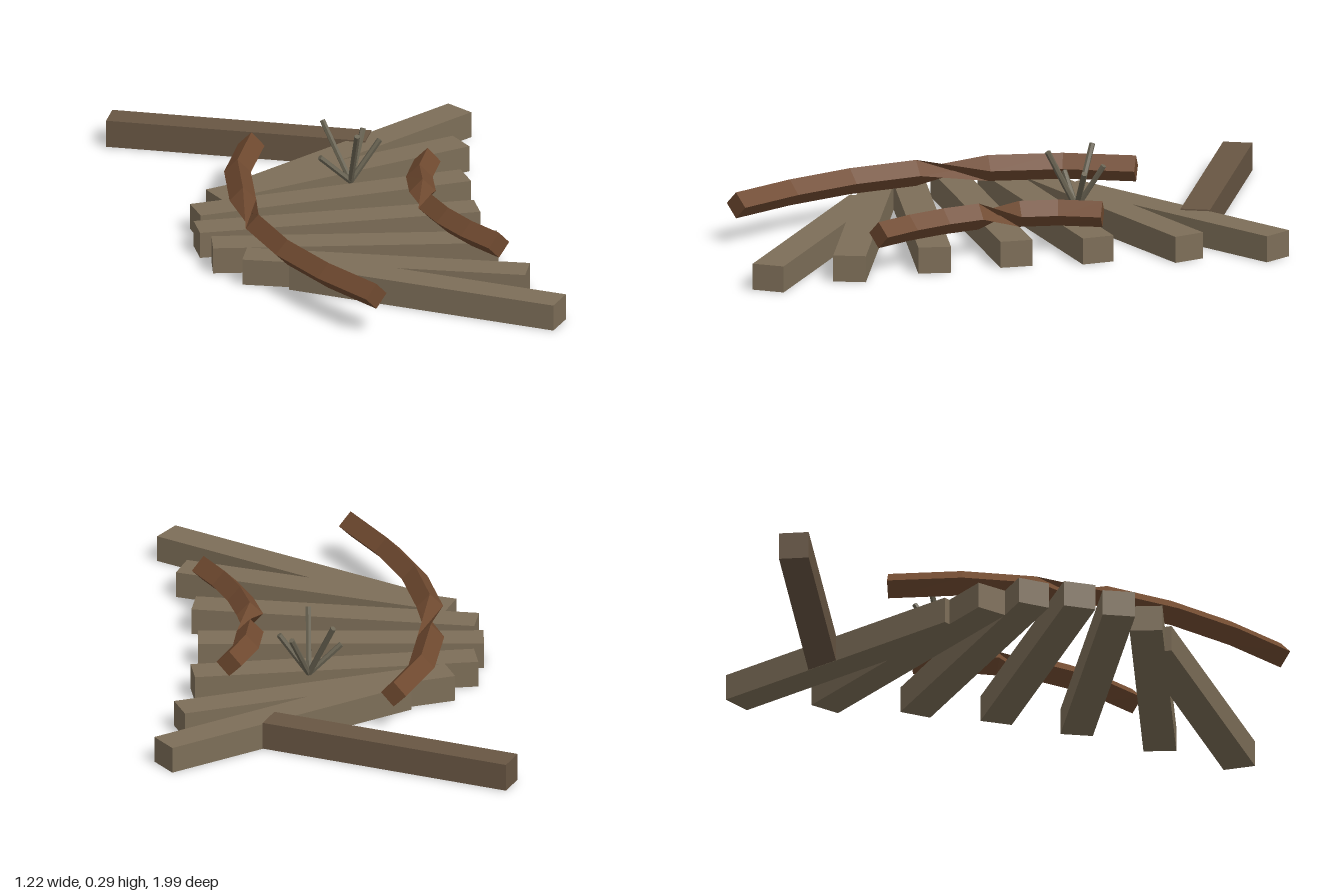
import * as THREE from 'three';

const mat = (color, extra = {}) => new THREE.MeshStandardMaterial({ color, flatShading: true, ...extra });

function addMesh(parent, name, geometry, material) {
  const mesh = new THREE.Mesh(geometry, material);
  mesh.name = name;
  parent.add(mesh);
  return mesh;
}

// Diamond-section bar swept along flat points, turned half round in the span after ring `twistAt`
function railGeometry(points, y, radius, twistAt) {
  const curve = new THREE.CatmullRomCurve3(points.map(([x, z]) => new THREE.Vector3(x, y, z)));
  const n = points.length, pos = [], index = [];
  for (let i = 0; i < n; i++) {
    const [x, z] = points[i];
    const t = curve.getTangent(i / (n - 1));
    const turn = i > twistAt ? Math.PI : 0;
    for (let k = 0; k < 4; k++) {
      const a = turn + k * Math.PI / 2;
      const side = Math.cos(a) * radius;
      pos.push(x + t.z * side, y + Math.sin(a) * radius, z - t.x * side);
    }
  }
  for (let i = 0; i < n - 1; i++) {
    for (let k = 0; k < 4; k++) {
      const a = i * 4 + k, b = i * 4 + (k + 1) % 4;
      index.push(a, b, a + 4, b, b + 4, a + 4);
    }
  }
  // end caps
  const e = (n - 1) * 4;
  index.push(0, 2, 1, 0, 3, 2, e, e + 1, e + 2, e, e + 2, e + 3);
  const g = new THREE.BufferGeometry();
  g.setAttribute('position', new THREE.Float32BufferAttribute(pos, 3));
  g.setIndex(index);
  g.computeVertexNormals();
  return g;
}

export function createModel() {
  const model = new THREE.Group();
  model.name = 'brokenCurvedTrack';
  const wood = mat(0x7d6e58);
  const looseWood = mat(0x685643);
  const rust = mat(0x704a30, { side: THREE.DoubleSide });
  const dry = mat(0x6a6453);

  // Fanned sleepers, mirrored about the middle one
  const sleepers = new THREE.Group();
  sleepers.name = 'sleepers';
  model.add(sleepers);
  const midZ = 0.066;
  const sleeperGeo = new THREE.BoxGeometry(0.957, 0.09, 0.11);
  const addSleeper = (x, z, degrees) => {
    const s = addMesh(sleepers, 'sleeper', sleeperGeo, wood);
    s.position.set(x, 0.045, z);
    s.rotation.y = THREE.MathUtils.degToRad(degrees);
  };
  addSleeper(-0.01, midZ, 0.5);
  for (const [x, offset, degrees] of [[0.01, 0.215, 8], [0.075, 0.427, 19.3], [0.18, 0.614, 33.5]]) {
    addSleeper(x, midZ - offset, degrees);
    addSleeper(x, midZ + offset, -degrees);
  }

  // Sleeper that has come away at the back
  const loose = addMesh(model, 'looseSleeper', new THREE.BoxGeometry(0.886, 0.094, 0.1), looseWood);
  loose.position.set(-0.18, 0.048, -0.785);
  loose.rotation.y = THREE.MathUtils.degToRad(-22.9);

  // Bent rails
  const outer = [[-0.19, -0.51], [-0.282, -0.28], [-0.312, -0.03], [-0.307, 0.22],
    [-0.255, 0.46], [-0.16, 0.69], [-0.038, 0.905]];
  const inner = [[0.362, -0.26], [0.307, -0.12], [0.293, 0.01], [0.295, 0.15],
    [0.328, 0.28], [0.382, 0.41], [0.452, 0.533]];
  addMesh(model, 'outerRail', railGeometry(outer, 0.135, 0.045, 2), rust);
  addMesh(model, 'innerRail', railGeometry(inner, 0.135, 0.045, 2), rust);

  // Tuft of dry stalks
  const tuft = new THREE.Group();
  tuft.name = 'dryTuft';
  model.add(tuft);
  const base = new THREE.Vector3(0.095, 0.09, -0.235);
  const tips = [[-0.013, 0.19, -0.22], [0.013, 0.287, -0.31], [0.098, 0.29, -0.135],
    [0.153, 0.245, -0.315], [0.195, 0.232, -0.238]];
  for (const tip of tips) {
    const end = new THREE.Vector3(...tip);
    const dir = end.clone().sub(base);
    const stalk = addMesh(tuft, 'stalk', new THREE.CylinderGeometry(0.01, 0.01, dir.length(), 6), dry);
    stalk.position.copy(base).add(end).multiplyScalar(0.5);
    stalk.quaternion.setFromUnitVectors(new THREE.Vector3(0, 1, 0), dir.normalize());
  }
  return model;
}
